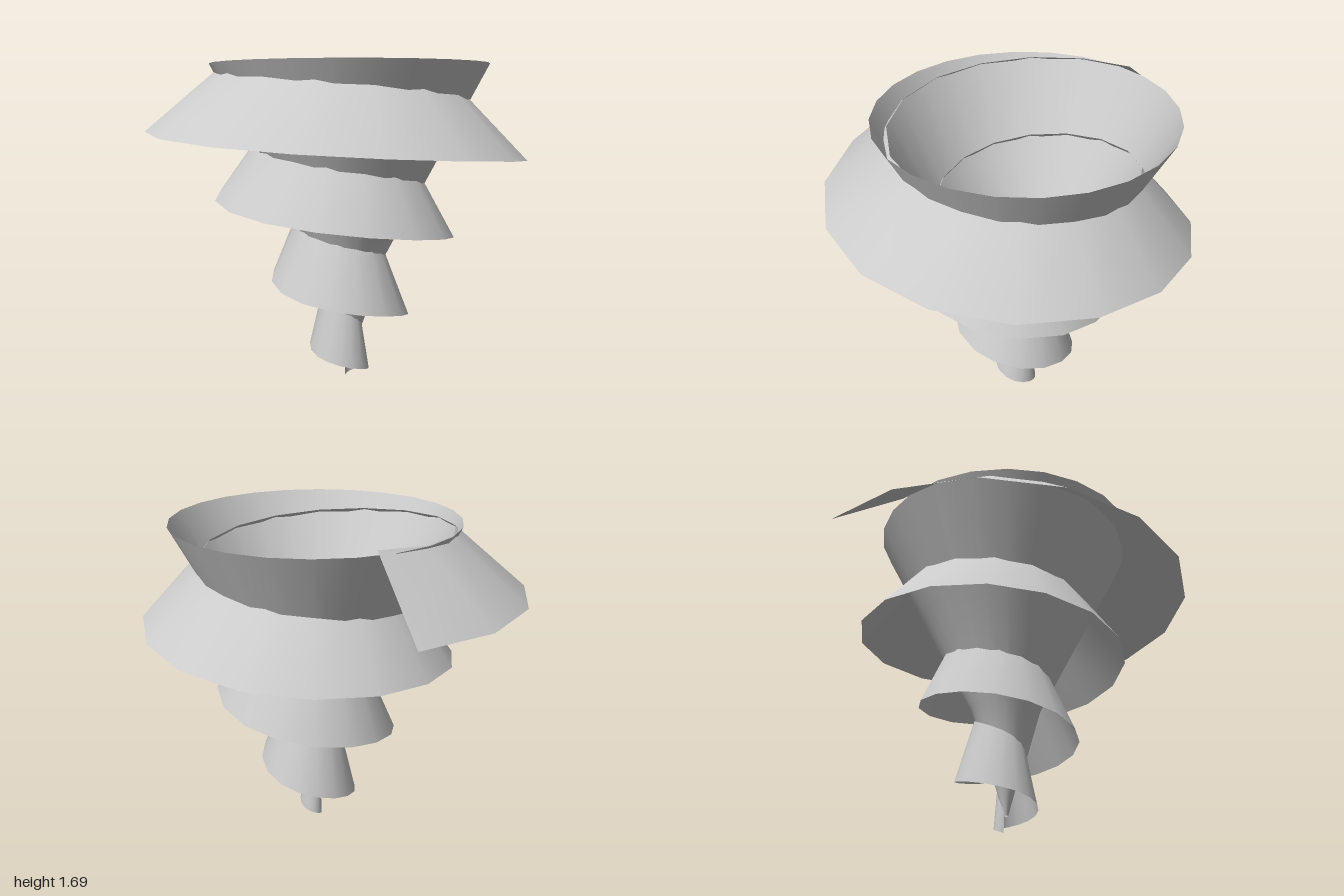
import * as THREE from 'three';

const material = new THREE.MeshStandardMaterial({ color: 0xcccccc, side: THREE.DoubleSide });
const STEPS = 16; // ribbon segments per turn

// [radius, height] every quarter turn: back, right, front, left ... beginning at the left
const lowerEdge = [
  [0.02, 0], [0.07, 0.03], [0.13, 0.075], [0.175, 0.13], [0.225, 0.2],
  [0.28, 0.3], [0.34, 0.4], [0.39, 0.49], [0.425, 0.605],
  [0.49, 0.72], [0.575, 0.82], [0.655, 0.925], [0.735, 1.03],
  [0.84, 1.125], [0.925, 1.215], [1.0, 1.295], [1.07, 1.37], [1.14, 1.44],
];
const upperEdge = [
  [0.015, 0.14], [0.05, 0.24], [0.083, 0.33], [0.112, 0.42], [0.148, 0.52],
  [0.175, 0.63], [0.207, 0.715], [0.25, 0.805], [0.3, 0.905],
  [0.352, 1.01], [0.403, 1.11], [0.457, 1.215], [0.511, 1.32],
  [0.562, 1.43], [0.613, 1.53], [0.66, 1.605], [0.693, 1.668], [0.73, 1.76],
];

const toVectors = (points) => points.map(([r, y]) => new THREE.Vector2(r, y));

// Flared band that winds upward around the cone
function spiralRibbon() {
  const edges = [lowerEdge, upperEdge].map((e) => new THREE.SplineCurve(toVectors(e)));
  const quarters = lowerEdge.length - 1;
  const count = (quarters - 1) * STEPS / 4 + 1;
  const positions = [];
  const index = [];
  for (let i = 0; i <= count; i++) {
    const angle = -Math.PI / 2 + (i / STEPS) * Math.PI * 2;
    for (const edge of edges) {
      const p = edge.getPoint((i * 4) / STEPS / quarters);
      positions.push(p.x * Math.sin(angle), p.y, -p.x * Math.cos(angle));
    }
    if (i < count) {
      const a = i * 2;
      index.push(a, a + 1, a + 2, a + 1, a + 3, a + 2);
    }
  }
  const geometry = new THREE.BufferGeometry();
  geometry.setAttribute('position', new THREE.Float32BufferAttribute(positions, 3));
  // Wind the faces so the outer side is the front
  for (let i = 0; i < index.length; i += 3) [index[i + 1], index[i + 2]] = [index[i + 2], index[i + 1]];
  geometry.setIndex(index);
  geometry.computeVertexNormals();
  const last = (count + 1) * 2 - 1;
  const n = geometry.attributes.normal, p = geometry.attributes.position;
  // Keep the front side facing away from the axis
  if (n.getX(last) * p.getX(last) + n.getZ(last) * p.getZ(last) < 0) {
    geometry.setIndex(index.slice().reverse());
    geometry.computeVertexNormals();
  }
  return geometry;
}

export function createModel() {
  const model = new THREE.Group();
  model.name = 'spiralCone';

  // Hollow cone, open at the top
  const profile = [[0.012, 0.09], [0.05, 0.23], [0.086, 0.33], [0.115, 0.42], [0.18, 0.65], [0.445, 1.16], [0.71, 1.67]];
  const cone = new THREE.Mesh(new THREE.LatheGeometry(toVectors(profile), 24), material);
  cone.name = 'cone';

  const ribbon = new THREE.Mesh(spiralRibbon(), material);
  ribbon.name = 'spiralRibbon';

  model.add(cone, ribbon);
  model.position.set(0.07, 0, -0.08);
  const root = new THREE.Group();
  root.name = 'model';
  root.add(model);
  return root;
}
